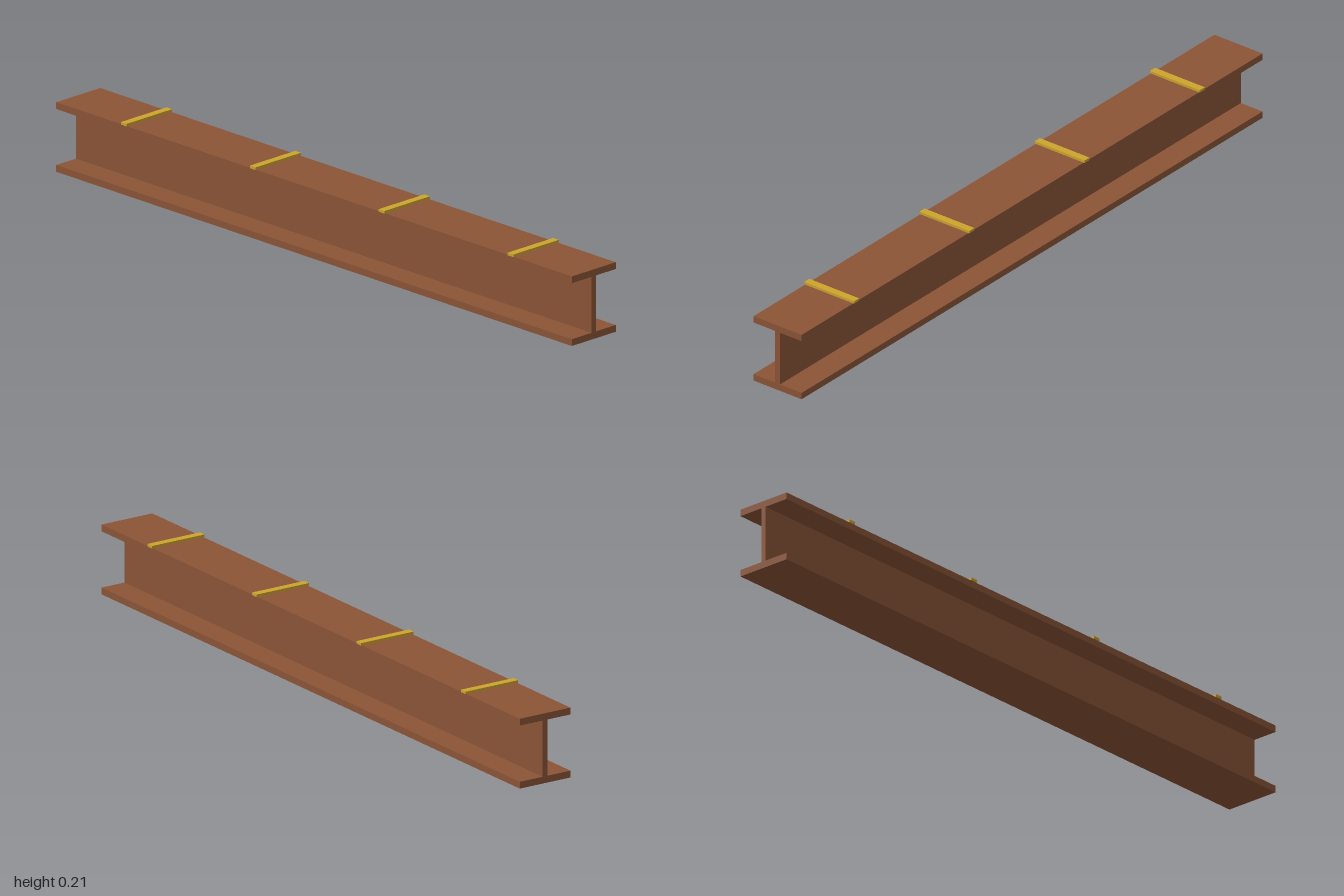
import * as THREE from 'three';

export function createModel() {
  const model = new THREE.Group();
  const steel = new THREE.MeshStandardMaterial({ color: 0x8b5436 });
  steel.name = 'rusty brown steel';
  const yellow = new THREE.MeshStandardMaterial({ color: 0xcda52d });
  yellow.name = 'yellow marking';

  const length = 2, height = 0.2, flange = 0.0195;
  const halfFlange = 0.0835, halfWeb = 0.008;

  // I-shaped cross-section, right half mirrored to the left
  const half = [
    [halfFlange, 0], [halfFlange, flange], [halfWeb, flange],
    [halfWeb, height - flange], [halfFlange, height - flange], [halfFlange, height],
  ];
  const outline = [...half, ...half.map(([z, y]) => [-z, y]).reverse()];
  const section = new THREE.Shape(outline.map(([z, y]) => new THREE.Vector2(z, y)));

  // Beam runs along x
  const beamGeometry = new THREE.ExtrudeGeometry(section, { depth: length, bevelEnabled: false });
  beamGeometry.translate(0, 0, -length / 2).rotateY(Math.PI / 2);
  const beam = new THREE.Mesh(beamGeometry, steel);
  beam.name = 'beam';
  model.add(beam);

  // Evenly spaced strips across the top flange
  const stripGeometry = new THREE.BoxGeometry(0.022, 0.0075, 0.173);
  for (let i = 0; i < 4; i++) {
    const strip = new THREE.Mesh(stripGeometry, yellow);
    strip.name = `topStrip${i + 1}`;
    strip.position.set(-0.735 + i * 0.5, height + 0.00375, 0);
    model.add(strip);
  }
  return model;
}
